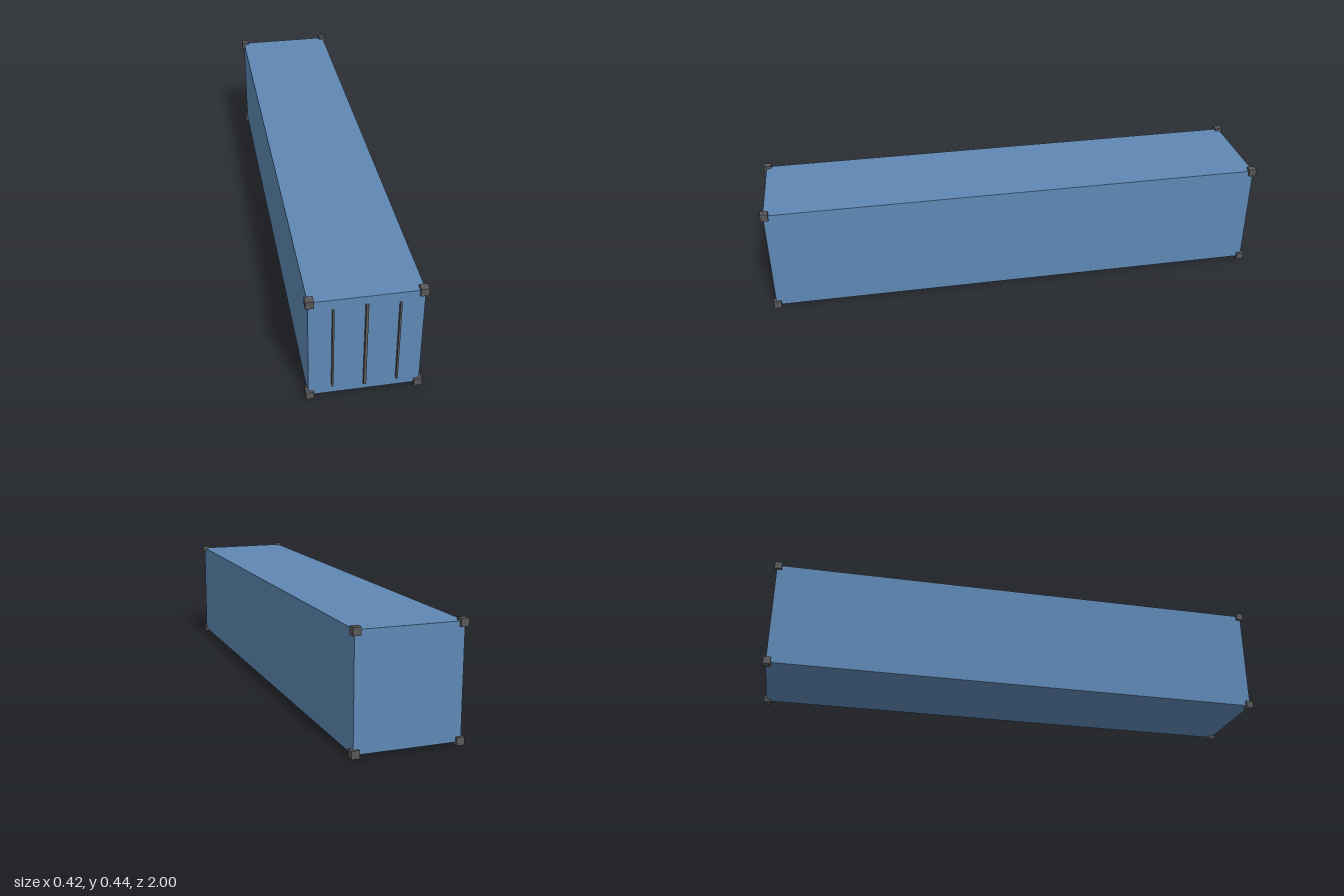
import * as THREE from 'three';

export function createModel() {
  const model = new THREE.Group();
  model.name = 'shippingContainer';

  const blue = new THREE.MeshStandardMaterial({ color: 0x5f88b5 });
  const steel = new THREE.MeshStandardMaterial({ color: 0x585858 });

  const addBox = (name, material, [w, h, d], [x, y, z]) => {
    const mesh = new THREE.Mesh(new THREE.BoxGeometry(w, h, d), material);
    mesh.name = name;
    mesh.position.set(x, y, z);
    model.add(mesh);
  };

  // Main body, slightly behind centre because the door bars stand out in front
  const width = 0.396, height = 0.421, length = 1.978;
  const midY = 0.221, midZ = -0.0015;
  addBox('body', blue, [width, height, length], [0, midY, midZ]);

  // Corner castings, standing a little proud of all eight corners
  const casting = 0.0292, inset = 0.005;
  for (const sx of [-1, 1])
    for (const sy of [-1, 1])
      for (const sz of [-1, 1])
        addBox('cornerCasting', steel, [casting, casting, casting], [
          sx * (width / 2 - inset),
          midY + sy * (height / 2 - inset + 0.001),
          midZ + sz * (length / 2 - inset),
        ]);

  // Door seam and locking bars on the front
  const doorZ = midZ + length / 2;
  const depth = 1 - doorZ;
  const barZ = doorZ + depth / 2;
  addBox('doorSeam', steel, [0.0095, 0.357, depth], [0, midY, barZ]);
  for (const side of [-1, 1])
    addBox('lockingBar', steel, [0.0065, 0.343, depth], [side * 0.114, midY, barZ]);

  return model;
}
